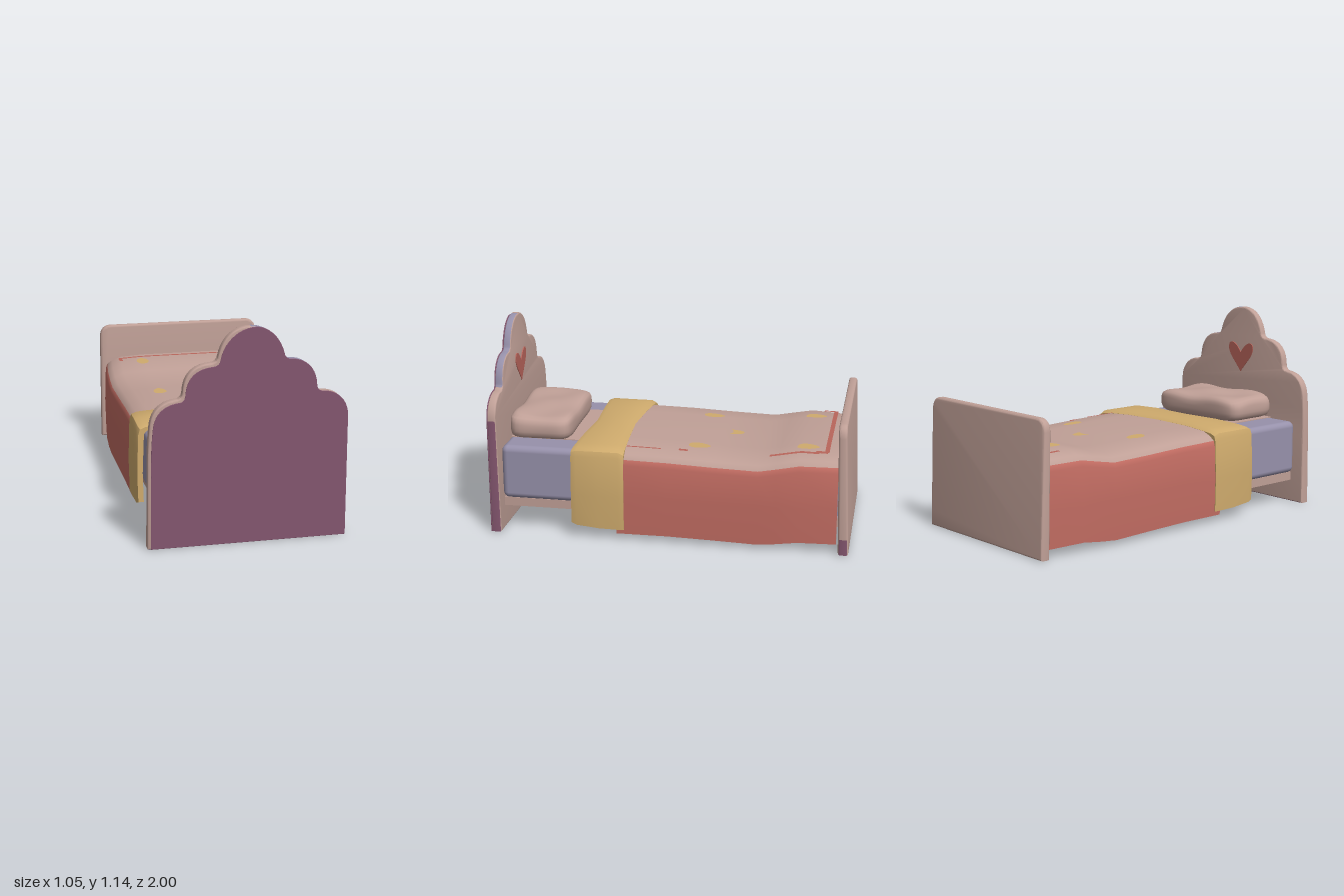
import * as THREE from 'three';
import { mergeVertices, toCreasedNormals } from 'three/addons/utils/BufferGeometryUtils.js';
import { RoundedBoxGeometry } from 'three/addons/geometries/RoundedBoxGeometry.js';

const mat = (name, color, side = THREE.FrontSide) => {
  const m = new THREE.MeshStandardMaterial({ color, side });
  m.name = name;
  return m;
};

// Sorts the triangles into material groups by a rule on their centre and normal
function paint(geo, rule) {
  const g = geo.index ? geo.toNonIndexed() : geo;
  g.clearGroups();
  const p = g.attributes.position, t = new THREE.Triangle();
  const c = new THREE.Vector3(), n = new THREE.Vector3();
  for (let i = 0; i < p.count; i += 3) {
    t.setFromAttributeAndIndices(p, i, i + 1, i + 2);
    t.getMidpoint(c);
    t.getNormal(n);
    g.addGroup(i, 3, rule(c, n));
  }
  return g;
}

// Moves every vertex by a rule
function warp(geo, rule) {
  const p = geo.attributes.position, v = new THREE.Vector3();
  for (let i = 0; i < p.count; i++) {
    rule(v.fromBufferAttribute(p, i));
    p.setXYZ(i, v.x, v.y, v.z);
  }
  return geo;
}

// Board with softly rounded edges, from z = z0 to z0 + depth
function board(shape, z0, depth, bevel) {
  const g = new THREE.ExtrudeGeometry(shape, {
    depth: depth - 2 * bevel, bevelThickness: bevel, bevelSize: bevel,
    bevelOffset: -bevel, bevelSegments: 3, curveSegments: 10,
  });
  return g.translate(0, 0, z0 + bevel);
}

// Scalloped headboard outline
function headShape() {
  const s = new THREE.Shape();
  s.moveTo(-0.525, 0);
  s.lineTo(0.52, 0);
  s.lineTo(0.52, 0.65);
  s.bezierCurveTo(0.52, 0.73, 0.46, 0.785, 0.39, 0.787);
  s.quadraticCurveTo(0.352, 0.787, 0.35, 0.82);
  s.bezierCurveTo(0.345, 0.91, 0.29, 0.962, 0.21, 0.964);
  s.quadraticCurveTo(0.18, 0.964, 0.174, 0.995);
  s.bezierCurveTo(0.15, 1.085, 0.085, 1.14, 0.005, 1.14);
  s.bezierCurveTo(-0.08, 1.14, -0.14, 1.085, -0.16, 0.99);
  s.quadraticCurveTo(-0.165, 0.962, -0.2, 0.96);
  s.bezierCurveTo(-0.28, 0.955, -0.335, 0.91, -0.34, 0.82);
  s.quadraticCurveTo(-0.342, 0.785, -0.37, 0.782);
  s.bezierCurveTo(-0.45, 0.775, -0.5, 0.73, -0.508, 0.65);
  s.quadraticCurveTo(-0.52, 0.55, -0.52, 0.4);
  return s;
}

// Stations along the blanket: z, crown height, half width, hem height
const BLANKET = [
  [-0.93, 0.53, 0.47, 0.045], [-0.72, 0.535, 0.495, 0.05], [-0.6, 0.512, 0.5, 0.035],
  [-0.5, 0.493, 0.5, 0.025], [-0.25, 0.5, 0.5, 0.032], [0, 0.51, 0.5, 0.037], [0.28, 0.515, 0.5, 0.035],
];
const FOLD = [[0.24, 0.515, 0.505, 0.06], [0.27, 0.53, 0.51, 0.06], [0.38, 0.53, 0.51, 0.062],
  [0.5, 0.53, 0.512, 0.075], [0.53, 0.52, 0.505, 0.085]];
const CX = 0.01;

// Cloth hanging over both sides, lofted as a closed U-shaped band
function drape(stations, t, shoulder) {
  const pos = [], idx = [];
  const half = (h, w, b) => [[w, b], [w + 0.004, 0.25], [w - 0.004, h - shoulder - 0.03],
    [w - 0.014, h - shoulder], [w - 0.045, h - shoulder * 0.55], [w - 0.1, h - 0.008], [w * 0.5, h]];
  const arch = (h, w, b) => {
    const r = half(h, w, b);
    return [...r, [0, h], ...r.map(([x, y]) => [-x, y]).reverse()];
  };
  let n = 0;
  for (const [z, h, w, b] of stations) {
    const outer = arch(h, w, b);
    n = outer.length;
    for (const [x, y] of [...outer, ...arch(h - t, w - t, b).reverse()]) pos.push(x + CX, y, z);
  }
  const m = 2 * n, quad = (a, b, c, d) => idx.push(a, b, c, a, c, d);
  for (let i = 0; i < stations.length - 1; i++)
    for (let j = 0; j < m; j++) {
      const k = (j + 1) % m;
      quad(i * m + j, i * m + k, (i + 1) * m + k, (i + 1) * m + j);
    }
  const e = (stations.length - 1) * m;
  for (let j = 0; j < n - 1; j++) {
    quad(m - 1 - j, m - 2 - j, j + 1, j);
    quad(e + j, e + j + 1, e + m - 2 - j, e + m - 1 - j);
  }
  const g = new THREE.BufferGeometry();
  g.setAttribute('position', new THREE.Float32BufferAttribute(pos, 3));
  g.setIndex(idx);
  return g;
}

// Height of the blanket's upper surface
function blanketTop(x, z) {
  let i = 0;
  while (i < BLANKET.length - 2 && z > BLANKET[i + 1][0]) i++;
  const [a, b] = [BLANKET[i], BLANKET[i + 1]];
  const h = THREE.MathUtils.mapLinear(z, a[0], b[0], a[1], b[1]);
  return h - 0.008 * THREE.MathUtils.clamp((Math.abs(x - CX) - 0.25) / 0.15, 0, 1);
}

export function createModel() {
  const model = new THREE.Group();
  const pink = mat('dustyPink', 0xc0a097), purple = mat('plum', 0x84566f);
  const lavender = mat('lavender', 0x9791ab), red = mat('brickRed', 0xc16c62);
  const yellow = mat('mustard', 0xcfab6d);
  const redTrim = mat('trimRed', 0xb9655b, THREE.DoubleSide);
  const add = (name, geo, material) => {
    const m = new THREE.Mesh(geo, material);
    m.name = name;
    model.add(m);
    return m;
  };

  // Headboard, thicker toward the floor, with coloured edges
  const head = warp(board(headShape(), 0.955, 0.042, 0.008), (v) => {
    if (v.z < 0.975) v.z -= 0.015 * (1 - v.y / 1.14);
  });
  add('headboard', paint(toCreasedNormals(head, 0.6), (c, n) => {
    if (n.y < -0.7) return 1;
    if (Math.abs(n.z) > 0.7 || c.x < 0) return 0;
    return c.y < 0.65 ? 1 : c.y > 0.8 ? 2 : 0;
  }), [pink, purple, lavender]);
  const face = warp(board(headShape(), 0.994, 0.006, 0.002), (v) => {
    v.x = 0.52 - (0.52 - v.x) * 0.985;
    if (v.x < 0.05) v.y *= 1 - 0.018 * Math.min(1, (0.05 - v.x) / 0.15);
  });
  add('headboardFront', face, purple);

  // Heart on the inner face of the headboard
  const heart = new THREE.Shape();
  heart.moveTo(0, 0.74);
  heart.bezierCurveTo(0.04, 0.8, 0.1, 0.84, 0.1, 0.89);
  heart.bezierCurveTo(0.1, 0.94, 0.04, 0.93, 0, 0.86);
  heart.bezierCurveTo(-0.04, 0.93, -0.1, 0.94, -0.1, 0.89);
  heart.bezierCurveTo(-0.1, 0.84, -0.04, 0.8, 0, 0.74);
  add('heart', board(heart, 0.947, 0.008, 0.001), redTrim);

  // Footboard, leaning and rounded at the top corners
  const f = new THREE.Shape();
  f.moveTo(-0.485, 0);
  f.lineTo(0.52, 0);
  f.lineTo(0.52, 0.09);
  f.lineTo(0.52, 0.66);
  f.quadraticCurveTo(0.515, 0.728, 0.45, 0.728);
  f.lineTo(-0.415, 0.728);
  f.quadraticCurveTo(-0.48, 0.728, -0.485, 0.66);
  const foot = warp(board(f, -0.97, 0.045, 0.012), (v) => {
    v.z -= (v.z < -0.95 ? 0.03 : 0.018) * (1 - v.y / 0.73);
  });
  add('footboard', paint(toCreasedNormals(foot, 0.6),
    (c, n) => (c.x > 0.45 && c.y < 0.09 && Math.abs(n.z) < 0.7 ? 1 : 0)), [pink, purple]);

  // Base, mattress and sheet
  const box = (name, m, w, h, d, x, y, z, r) =>
    add(name, r ? new RoundedBoxGeometry(w, h, d, 3, r) : new THREE.BoxGeometry(w, h, d), m).position.set(x, y, z);
  box('bedBase', pink, 0.87, 0.05, 1.88, 0, 0.155, 0);
  box('mattress', lavender, 0.92, 0.31, 0.85, 0, 0.335, 0.52, 0.035);
  box('mattressCore', lavender, 0.88, 0.26, 1.04, 0, 0.31, -0.41);
  box('sheet', pink, 0.57, 0.006, 0.42, 0.01, 0.491, 0.72);

  // Pillow: a puffy box with dented top
  let pg = new THREE.BoxGeometry(2, 2, 2, 20, 8, 14);
  pg.deleteAttribute('normal');
  pg.deleteAttribute('uv');
  pg = warp(mergeVertices(pg), (v) => {
    const big = Math.max(Math.abs(v.x), Math.abs(v.y), Math.abs(v.z));
    const norm = (Math.abs(v.x) ** 6 + Math.abs(v.y) ** 6 + Math.abs(v.z) ** 6) ** (1 / 6);
    v.multiplyScalar(big / norm);
    const dent = v.y > 0 ? 0.008 * Math.sin(5 * v.x + 1) * Math.cos(3 * v.z) : 0;
    const pinch = 1 - 0.05 * v.y * v.y;
    v.set(v.x * 0.332 * pinch * (1 - 0.02 * Math.cos(v.z * 2)), v.y * 0.073 + 0.008 * v.z * Math.max(0, v.y) + dent,
      v.z * 0.182 * pinch * (1 - 0.03 * Math.cos(v.x * 2.2)));
  });
  pg.computeVertexNormals();
  const pillow = add('pillow', pg, pink);
  pillow.position.set(0.035, 0.563, 0.76);
  pillow.rotation.y = 0.02;

  // Blanket with red hanging sides and the folded band
  add('blanket', paint(toCreasedNormals(drape(BLANKET, 0.02, 0.05), 0.7),
    (c, n) => (Math.abs(n.x) > 0.75 || n.y < -0.3 ? 1 : 0)), [pink, red]);
  const fold = warp(drape(FOLD, 0.03, 0.025), (v) => {
    v.z = 0.385 + (v.z - 0.385) * (0.78 + 0.24 * Math.min(1, Math.abs(v.x) / 0.5));
  });
  add('foldedBand', toCreasedNormals(fold, 0.7), yellow);

  // Painted drops on the blanket
  const lay = (shape, x, z) => warp(new THREE.ShapeGeometry(shape, 8).rotateX(-Math.PI / 2).translate(x, 0, z),
    (v) => { v.y = blanketTop(v.x, v.z) + 0.004; });
  const drop = new THREE.Shape();
  drop.moveTo(0, 0.065);
  drop.bezierCurveTo(0.03, 0.05, 0.04, 0, 0.036, -0.025);
  drop.bezierCurveTo(0.03, -0.07, -0.03, -0.07, -0.036, -0.025);
  drop.bezierCurveTo(-0.04, 0, -0.03, 0.05, 0, 0.065);
  for (const x of [-0.25, 0.3]) for (const z of [-0.75, -0.15]) add('drop', lay(drop, x, z), yellow);
  const crest = new THREE.Shape();
  crest.moveTo(-0.04, -0.035);
  crest.quadraticCurveTo(-0.035, 0.045, 0, 0.045);
  crest.quadraticCurveTo(0.035, 0.045, 0.042, -0.035);
  crest.quadraticCurveTo(0, 0, -0.04, -0.035);
  add('centreMark', lay(crest, 0.025, -0.32), yellow);

  // Worn red border lines on the blanket
  const line = (x0, z0, x1, z1) => {
    const g = new THREE.PlaneGeometry(x1 - x0, z1 - z0, 12, 12).rotateX(-Math.PI / 2);
    add('borderLine', warp(g.translate((x0 + x1) / 2, 0, (z0 + z1) / 2),
      (v) => { v.y = blanketTop(v.x, v.z) + 0.004; }), redTrim);
  };
  line(-0.38, -0.872, 0.37, -0.848);
  line(-0.385, -0.86, -0.365, -0.79);
  line(0.355, -0.865, 0.385, -0.8);
  line(0.375, -0.82, 0.4, -0.55);
  line(0.375, -0.1, 0.398, -0.05);
  line(0.39, 0.05, 0.402, 0.24);
  return model;
}
